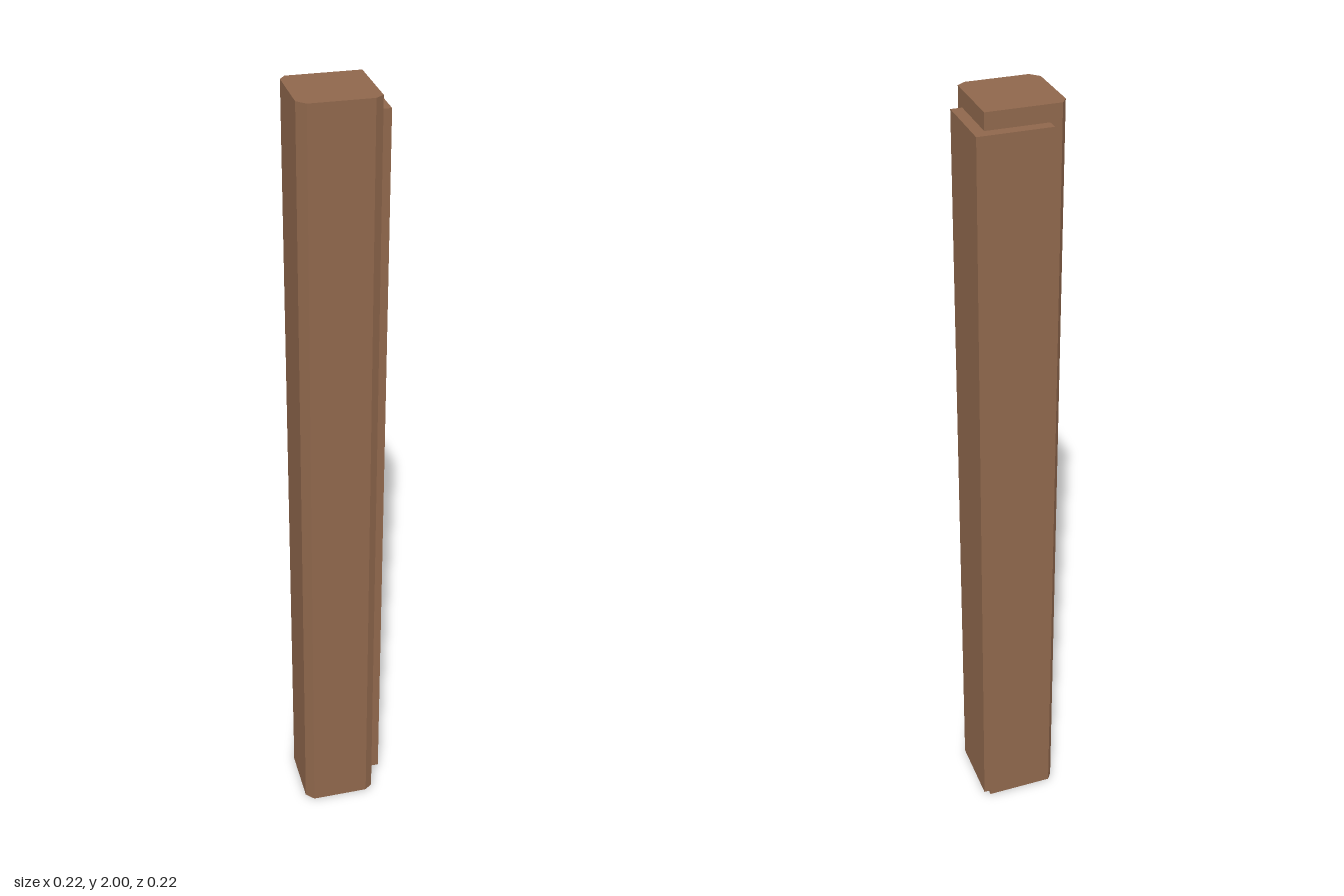
import * as THREE from 'three';

// Extrudes a plan outline of [x, z] points upward from y0 to y1
function prism(name, outline, y0, y1, material) {
  const shape = new THREE.Shape(outline.map(([x, z]) => new THREE.Vector2(x, -z)));
  const geometry = new THREE.ExtrudeGeometry(shape, { depth: y1 - y0, bevelEnabled: false });
  geometry.rotateX(-Math.PI / 2).translate(0, y0, 0);
  const mesh = new THREE.Mesh(geometry, material);
  mesh.name = name;
  return mesh;
}

export function createModel() {
  const group = new THREE.Group();
  group.name = 'woodenPost';
  const wood = new THREE.MeshStandardMaterial({ color: 0x8f674c });
  wood.name = 'brown wood';

  // Main post with three unevenly chamfered corners
  group.add(prism('post', [
    [-0.108, -0.062], [-0.094, -0.082], [0.081, -0.082], [0.081, 0.092],
    [0.061, 0.107], [-0.088, 0.107], [-0.108, 0.086],
  ], 0, 2, wood));

  // Shorter L-shaped cladding wrapped around the back left corner
  group.add(prism('cornerCladding', [
    [-0.066, -0.109], [0.108, -0.109], [0.108, 0.064],
    [0.07, 0.064], [0.07, -0.07], [-0.066, -0.07],
  ], 0.045, 1.96, wood));

  return group;
}
